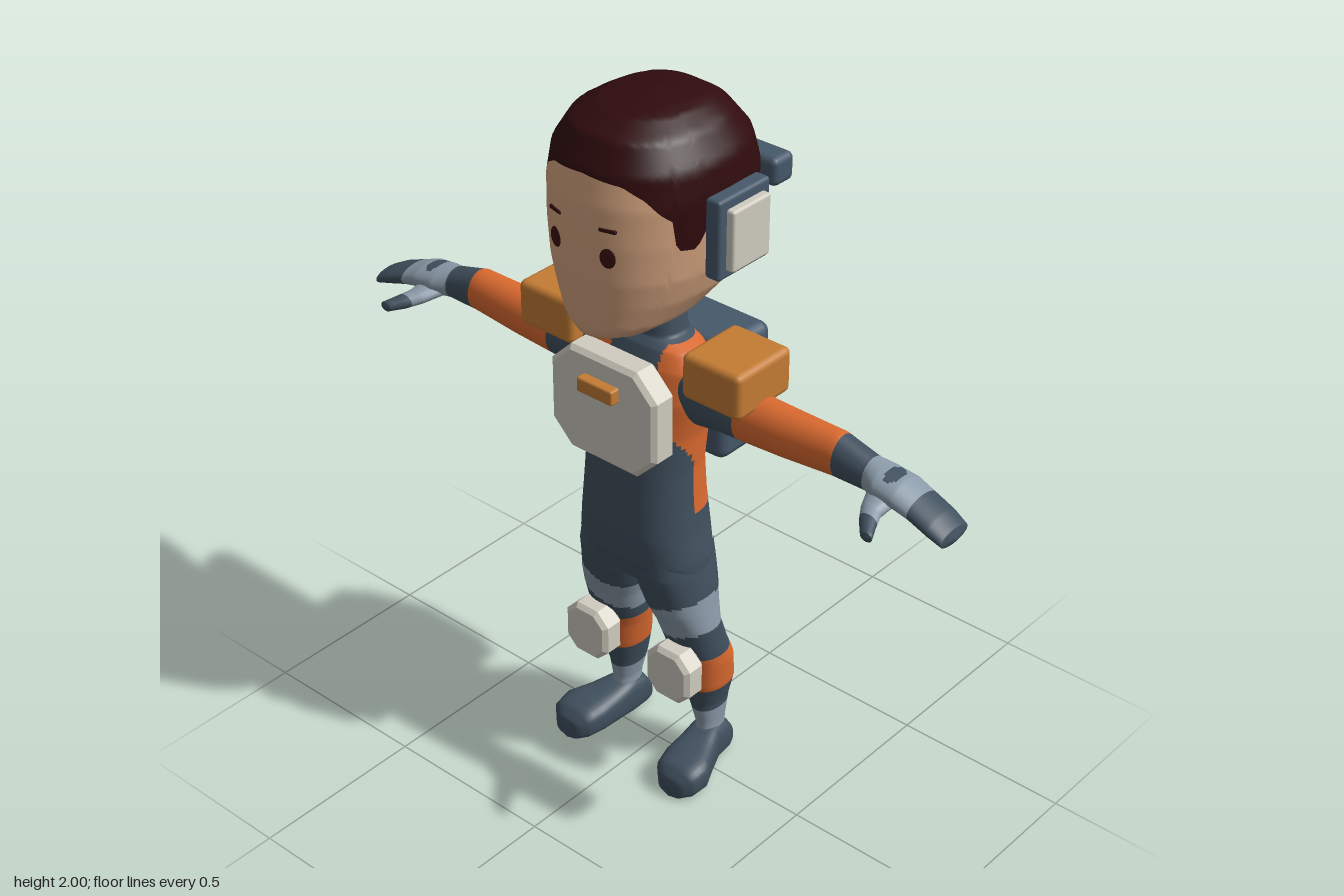
import * as THREE from 'three';
import { RoundedBoxGeometry } from 'three/addons/geometries/RoundedBoxGeometry.js';

const mat = (name, color) => Object.assign(new THREE.MeshStandardMaterial({ color }), { name });
const navy = mat('navy suit', 0x40505e);
const orange = mat('orange suit', 0xdb6a30);
const grey = mat('grey band', 0x8a9aa8);
const gear = mat('slate gear', 0x46586a);
const amber = mat('amber gear', 0xc47c34);
const cream = mat('cream plate', 0xd0ccc0);
const skin = mat('skin', 0xd6a580);
const hairMat = mat('hair', 0x300b0d);
const eyeMat = mat('eye', 0x3a0f10);
const suit = [navy, orange, grey];

const pw = (v, p) => Math.sign(v) * Math.abs(v) ** p;
const mix = (a, b, t) => a.map((v, i) => v + (b[i] - v) * t);
// Row at fractional index t
const rowAt = (rows, t) => {
  const i = Math.min(Math.floor(t), rows.length - 2);
  return mix(rows[i], rows[i + 1], t - i);
};
// Row whose first column equals key
const rowFor = (rows, key) => {
  let i = 0;
  while (i < rows.length - 2 && rows[i + 1][0] < key) i++;
  const t = (key - rows[i][0]) / (rows[i + 1][0] - rows[i][0]);
  return mix(rows[i], rows[i + 1], Math.min(1, Math.max(0, t)));
};

// Closed tube of quads; pick chooses a material per quad, side -1 mirrors it
function grid(name, nu, nv, f, mats, pick = () => 0, side = 1) {
  const pos = [], lists = mats.map(() => []);
  for (let j = 0; j <= nv; j++) for (let i = 0; i < nu; i++) {
    const [x, y, z] = f((i / nu) * Math.PI * 2, j / nv);
    pos.push(x * side, y, z);
  }
  for (let j = 0; j < nv; j++) for (let i = 0; i < nu; i++) {
    const k = (i + 1) % nu, a = j * nu + i, b = j * nu + k, c = b + nu, d = a + nu;
    const m = [0, 1, 2].map(n => (pos[a * 3 + n] + pos[b * 3 + n] + pos[c * 3 + n] + pos[d * 3 + n]) / 4);
    lists[pick(Math.abs(m[0]), m[1], m[2])].push(...(side > 0 ? [a, b, c, a, c, d] : [a, c, b, a, d, c]));
  }
  const g = new THREE.BufferGeometry();
  g.setAttribute('position', new THREE.Float32BufferAttribute(pos, 3));
  g.setIndex(lists.flat());
  let start = 0;
  lists.forEach((l, i) => { g.addGroup(start, l.length, i); start += l.length; });
  g.computeVertexNormals();
  const mesh = new THREE.Mesh(g, mats);
  mesh.name = name;
  return mesh;
}
const loft = (name, rows, place, nu, k, mats, pick, side) =>
  grid(name, nu, (rows.length - 1) * k, (a, v) => place(rowAt(rows, v * (rows.length - 1)), a), mats, pick, side);

// Horizontal section: [y, xMin, xMax, zBack, zFront]
const slice = p => ([y, x0, x1, z0, z1], a) => [
  (x0 + x1) / 2 + (x1 - x0) / 2 * pw(Math.sin(a), p), y, (z0 + z1) / 2 + (z1 - z0) / 2 * pw(Math.cos(a), p)];

function box(name, size, at, material, r = 0.015) {
  const m = new THREE.Mesh(new RoundedBoxGeometry(...size, 2, r), material);
  m.position.set(...at);
  m.name = name;
  return m;
}

// Plate with cut corners and a bevelled rim
function plate(name, w, h, cut, depth, at) {
  const b = 0.012, x = w / 2 - b, y = h / 2 - b;
  const s = new THREE.Shape([[-x + cut, -y], [x - cut, -y], [x, -y + cut], [x, y - cut],
    [x - cut, y], [-x + cut, y], [-x, y - cut], [-x, -y + cut]].map(p => new THREE.Vector2(...p)));
  const g = new THREE.ExtrudeGeometry(s, { depth: depth - 2 * b, bevelThickness: b, bevelSize: b, bevelSegments: 1 });
  g.translate(0, 0, b - depth / 2);
  const m = new THREE.Mesh(g, cream);
  m.position.set(...at);
  m.name = name;
  return m;
}

// Head profile: [y, half width, zBack, zFront]
const HEAD = [[1.375, 0, 0.03, 0.03], [1.385, 0.055, -0.03, 0.09], [1.43, 0.105, -0.075, 0.262],
  [1.46, 0.145, -0.11, 0.272], [1.53, 0.19, -0.213, 0.278], [1.6, 0.214, -0.24, 0.284], [1.7, 0.227, -0.26, 0.286],
  [1.8, 0.231, -0.256, 0.281], [1.88, 0.22, -0.23, 0.264], [1.95, 0.175, -0.175, 0.225],
  [1.985, 0.115, -0.12, 0.15], [2, 0, 0.01, 0.01]];
const HAIRLINE = [[0, 1.87], [0.45, 1.86], [0.7, 1.83], [0.88, 1.79], [1, 1.77], [1.06, 1.69], [1.28, 1.68],
  [1.36, 1.72], [2, 1.61], [2.42, 1.53], [3.15, 1.52]];
const P = 0.88;
const headPoint = (y, a) => {
  const [, w, z0, z1] = rowFor(HEAD, y);
  return slice(P)([y, -w, w, z0, z1], a);
};
const hairY = a => rowFor(HAIRLINE, a > Math.PI ? 2 * Math.PI - a : a)[1];

function buildHead() {
  const g = new THREE.Group();
  g.name = 'head';
  g.add(grid('face', 120, 36, (a, v) => headPoint(1.375 + (hairY(a) - 1.375) * v, a), [skin]));
  g.add(grid('hair', 120, 24, (a, v) => headPoint(hairY(a) + (2 - hairY(a)) * Math.sin(v * Math.PI / 2), a), [hairMat]));
  for (const s of [1, -1]) {
    // Painted eyes and brows lie on the face
    const onFace = (mesh, x, y) => {
      const w = rowFor(HEAD, y)[1];
      mesh.position.set(...headPoint(y, Math.asin((x / w) ** (1 / P))));
      mesh.position.x *= s;
      mesh.rotation.y = s * 0.25;
      g.add(mesh);
    };
    const eye = new THREE.Mesh(new THREE.SphereGeometry(1, 16, 10).scale(0.022, 0.027, 0.0045), eyeMat);
    eye.name = 'eye';
    onFace(eye, 0.083, 1.675);
    onFace(box('brow', [0.046, 0.009, 0.009], [0, 0, 0], hairMat, 0.002), 0.083, 1.748);
    // Ear pieces
    g.add(box('earFrame', [0.046, 0.215, 0.19], [s * 0.245, 1.703, -0.01], gear, 0.01));
    g.add(box('earPanel', [0.04, 0.165, 0.14], [s * 0.27, 1.7, -0.012], cream, 0.008));
  }
  g.add(box('headBar', [0.41, 0.078, 0.078], [0, 1.752, -0.24], gear, 0.018));
  return g;
}

function buildTorso() {
  const rows = [[0.64, 0.17, -0.065, 0.13], [0.66, 0.19, -0.075, 0.15], [0.72, 0.188, -0.085, 0.17],
    [0.8, 0.175, -0.087, 0.178], [0.9, 0.166, -0.077, 0.172], [1, 0.162, -0.07, 0.162], [1.1, 0.168, -0.075, 0.145],
    [1.2, 0.19, -0.077, 0.125], [1.28, 0.185, -0.072, 0.1], [1.325, 0.14, -0.07, 0.08], [1.345, 0.08, -0.067, 0.06],
    [1.42, 0.068, -0.06, 0.05]].map(([y, w, b, f]) => [y, -w, w, b, f]);
  const pick = (x, y, z) => {
    if (y > 1.338 || y < 0.845) return 0;
    if (y < 0.86) return z < -0.03 ? 2 : 0;
    if (y > 1.24) return z > 0 && x < 0.08 ? 0 : 1;
    const edge = 0.05 + 0.06 * THREE.MathUtils.smoothstep(y, 1.02, 1.12);
    // Dark rounded patch beside the pack
    if (z < -0.035 && x > 0.09 && ((y - 1.03) / 0.1) ** 2 + ((x - 0.13) / 0.035) ** 2 < 1) return 0;
    return z < edge ? 1 : 0;
  };
  return loft('torso', rows, slice(0.8), 96, 8, suit, pick);
}

function buildLeg(s) {
  const g = new THREE.Group();
  g.name = s > 0 ? 'leftLeg' : 'rightLeg';
  const rows = [[0.07, 0.12, 0.185, -0.09, 0], [0.13, 0.12, 0.185, -0.095, 0], [0.2, 0.105, 0.19, -0.11, 0.015],
    [0.28, 0.085, 0.213, -0.115, 0.04], [0.36, 0.07, 0.22, -0.105, 0.055], [0.42, 0.055, 0.22, -0.08, 0.075],
    [0.5, 0.04, 0.218, -0.055, 0.1], [0.56, 0.02, 0.208, -0.065, 0.125], [0.62, 0.002, 0.2, -0.075, 0.14],
    [0.68, 0, 0.191, -0.077, 0.155], [0.74, 0, 0.18, -0.075, 0.155]];
  const pick = (x, y) => {
    const c = y - 0.35 * (x - 0.13);
    if (c > 0.47 && c < 0.577) return 2;
    if (y > 0.27 && y < 0.4) return 1;
    return y > 0.11 && y < 0.18 ? 2 : 0;
  };
  g.add(loft('legSleeve', rows, slice(0.9), 40, 8, suit, pick, s));
  // Shoe sections: [z, x centre, half width, height]
  const shoe = [[-0.12, 0.15, 0, 0.04], [-0.115, 0.15, 0.03, 0.07], [-0.09, 0.152, 0.043, 0.105], [-0.03, 0.155, 0.05, 0.118],
    [0.03, 0.17, 0.062, 0.106], [0.09, 0.186, 0.076, 0.1], [0.14, 0.19, 0.068, 0.088], [0.165, 0.19, 0.042, 0.062], [0.17, 0.19, 0, 0.04]];
  g.add(loft('shoe', shoe, ([z, x, r, h], a) =>
    [x - r * pw(Math.sin(a), 0.7), h * (0.5 + 0.5 * pw(Math.cos(a), 0.65)), z], 32, 3, [navy], undefined, s));
  g.add(plate('kneePad', 0.15, 0.16, 0.032, 0.072, [s * 0.146, 0.37, 0.097]));
  return g;
}

function buildArm(s) {
  const g = new THREE.Group();
  g.name = s > 0 ? 'leftArm' : 'rightArm';
  // Arm sections: [x, y, z, half height, half depth]
  const rows = [[0.1, 1.23, 0.02, 0.08, 0.065], [0.18, 1.225, 0.02, 0.092, 0.072], [0.25, 1.222, 0.02, 0.078, 0.068],
    [0.32, 1.215, 0.02, 0.069, 0.062], [0.45, 1.218, 0.02, 0.065, 0.058], [0.6, 1.225, 0.02, 0.06, 0.05],
    [0.7, 1.212, 0.02, 0.045, 0.045], [0.74, 1.21, 0.025, 0.041, 0.06], [0.8, 1.205, 0.025, 0.035, 0.063],
    [0.85, 1.19, 0.026, 0.03, 0.06], [0.91, 1.17, 0.03, 0.027, 0.06], [0.95, 1.153, 0.032, 0.022, 0.055], [0.96, 1.148, 0.032, 0, 0]];
  const pick = (x, y, z) => {
    if (y > 1.21 && ((x - 0.77) / 0.02) ** 2 + ((z - 0.025) / 0.038) ** 2 < 1) return 0;
    if (x > 0.31 && x < 0.61) return 1;
    return x > 0.7 && x < 0.85 ? 2 : 0;
  };
  g.add(loft('sleeveAndGlove', rows, ([x, y, z, ry, rz], a) =>
    [x, y + ry * Math.cos(a), z + rz * Math.sin(a)], 48, 10, suit, pick, s));
  const thumb = [[0.05, 0.755, 1.19, 0.045, 0.022], [0.11, 0.765, 1.18, 0.03, 0.02], [0.15, 0.785, 1.172, 0.025, 0.018],
    [0.185, 0.808, 1.165, 0.018, 0.014], [0.19, 0.81, 1.165, 0, 0]];
  g.add(loft('thumb', thumb, ([z, x, y, rx, ry], a) =>
    [x - rx * Math.sin(a), y + ry * Math.cos(a), z], 16, 4, suit, (x, y, z) => (z > 0.14 ? 0 : 2), s));
  g.add(box('shoulderPad', [0.186, 0.128, 0.206], [s * 0.275, 1.322, 0.02], amber, 0.018));
  return g;
}

export function createModel() {
  const model = new THREE.Group();
  model.name = 'suitedFigure';
  model.add(buildHead(), buildTorso());
  for (const s of [1, -1]) model.add(buildLeg(s), buildArm(s));
  model.add(plate('chestPlate', 0.352, 0.306, 0.06, 0.08, [0, 1.183, 0.172]));
  model.add(box('chestBadge', [0.118, 0.042, 0.04], [0, 1.254, 0.22], amber, 0.006));
  model.add(box('backpack', [0.33, 0.345, 0.195], [0, 1.13, -0.163], gear, 0.03));
  model.add(box('backpackPanel', [0.25, 0.27, 0.06], [0, 1.137, -0.257], amber, 0.012));
  return model;
}
